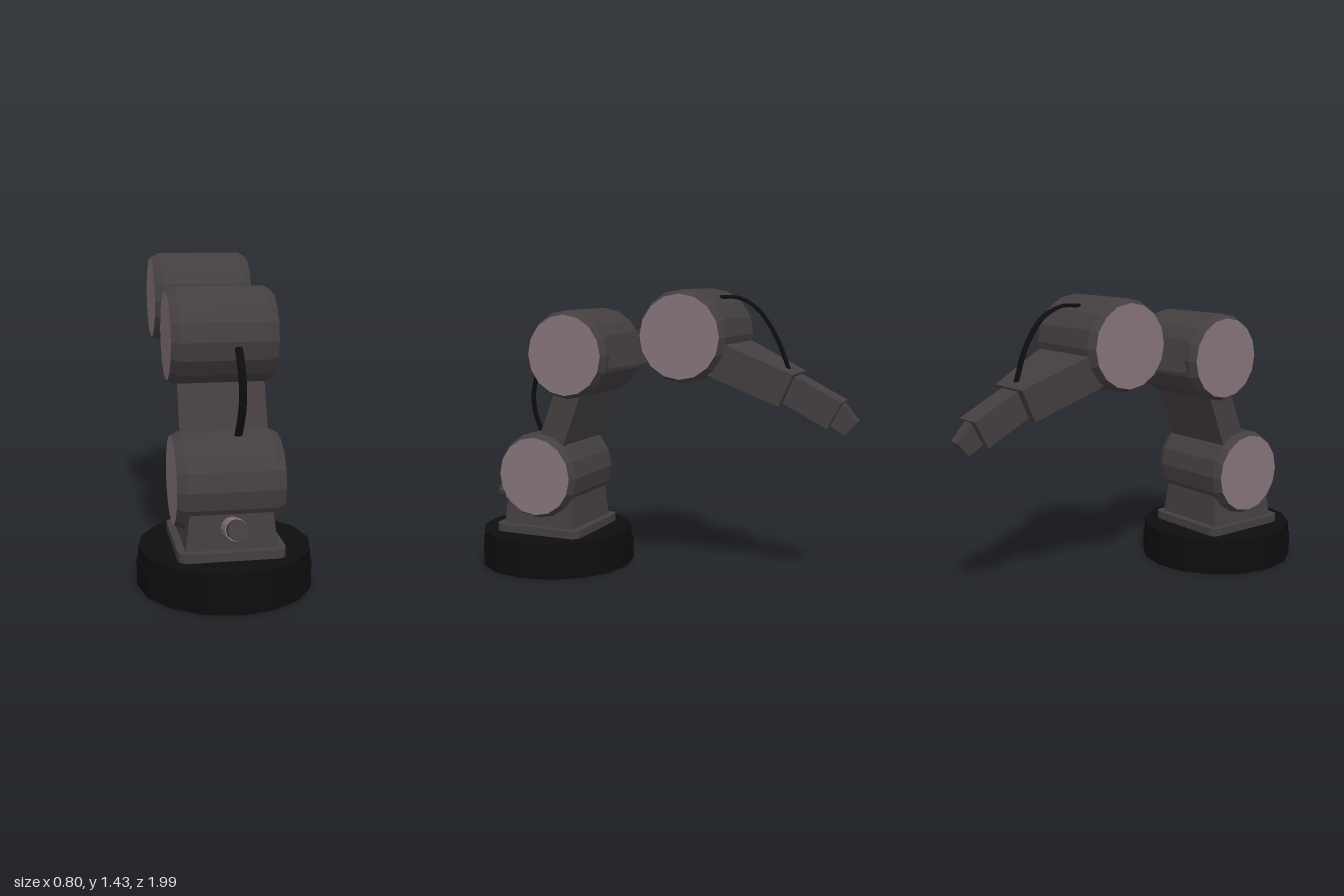
import * as THREE from 'three';

const material = (color) => new THREE.MeshStandardMaterial({ color, flatShading: true, side: THREE.DoubleSide });

export function createModel() {
  const arm = new THREE.Group();
  arm.name = 'robotArm';
  const body = material(0x443e40);
  const cap = material(0x85747a);
  const black = material(0x0d0d0d);

  function add(name, geometry, mat, parent = arm) {
    const mesh = new THREE.Mesh(geometry, mat);
    mesh.name = name;
    parent.add(mesh);
    return mesh;
  }

  // Tapered box running from a to b, both [z, y]; sizes are [width, thickness]
  function beam(name, a, b, s0, s1, mat = body) {
    const dz = b[0] - a[0], dy = b[1] - a[1];
    const length = Math.hypot(dz, dy);
    const geo = new THREE.BoxGeometry(1, 1, length);
    const p = geo.attributes.position;
    for (let i = 0; i < p.count; i++) {
      const s = p.getZ(i) > 0 ? s1 : s0;
      p.setXY(i, p.getX(i) * s[0], p.getY(i) * s[1]);
    }
    geo.computeVertexNormals();
    const mesh = add(name, geo, mat);
    mesh.position.set(0, (a[1] + b[1]) / 2, (a[0] + b[0]) / 2);
    mesh.rotation.x = Math.atan2(-dy, dz);
    return mesh;
  }

  // Wide joint drum with chamfered rims and pale end discs
  function joint(name, z, y) {
    const group = new THREE.Group();
    group.name = name;
    const profile = [[0.2, -0.24], [0.22, -0.2], [0.22, 0.2], [0.2, 0.24]]
      .map(([r, h]) => new THREE.Vector2(r, h));
    add('drum', new THREE.LatheGeometry(profile, 16), body, group);
    for (const side of [-1, 1]) {
      const disc = add('endDisc', new THREE.CircleGeometry(0.2, 16), cap, group);
      disc.position.y = side * 0.24;
      disc.rotation.x = -side * Math.PI / 2;
    }
    group.rotation.z = Math.PI / 2;
    group.position.set(0, y, z);
    arm.add(group);
  }

  // Round stepped base
  add('baseLower', new THREE.CylinderGeometry(0.4, 0.4, 0.125, 16), black).position.set(0, 0.0625, 0.6);
  add('baseUpper', new THREE.CylinderGeometry(0.392, 0.392, 0.055, 16), black).position.set(0, 0.1525, 0.6);

  // Mounting plate with rounded corners
  const h = 0.24, c = 0.05;
  const outline = new THREE.Shape();
  outline.moveTo(h - c, -h);
  outline.quadraticCurveTo(h, -h, h, -h + c);
  outline.lineTo(h, h - c);
  outline.quadraticCurveTo(h, h, h - c, h);
  outline.lineTo(-h + c, h);
  outline.quadraticCurveTo(-h, h, -h, h - c);
  outline.lineTo(-h, -h + c);
  outline.quadraticCurveTo(-h, -h, -h + c, -h);
  const plate = add('mountingPlate',
    new THREE.ExtrudeGeometry(outline, { depth: 0.04, bevelEnabled: false, curveSegments: 3 }), body);
  plate.rotation.x = -Math.PI / 2;
  plate.position.set(0, 0.18, 0.6);

  beam('pedestal', [0.6, 0.22], [0.6, 0.45], [0.41, 0.4], [0.35, 0.36]);

  // Joints and the links between them
  joint('shoulderJoint', 0.6, 0.485);
  joint('elbowJoint', 0.42, 1.105);
  joint('wristJoint', -0.19, 1.21);
  beam('lowerLink', [0.585, 0.5], [0.37, 1.05], [0.4, 0.14], [0.4, 0.14]);
  beam('upperLink', [0.4, 1.09], [-0.17, 1.19], [0.35, 0.16], [0.35, 0.16]);

  // Narrowing forearm and tool end
  beam('forearmRoot', [-0.22, 1.168], [-0.37, 1.1], [0.4, 0.165], [0.4, 0.165]);
  beam('forearm', [-0.37, 1.1], [-0.672, 0.966], [0.4, 0.165], [0.23, 0.165]);
  beam('toolArm', [-0.65, 0.978], [-0.89, 0.855], [0.135, 0.14], [0.135, 0.14]);
  beam('toolTip', [-0.88, 0.862], [-0.963, 0.794], [0.06, 0.125], [0.06, 0.084]);

  // Round connector at the front of the pedestal
  function plug(name, r, from, to, mat) {
    const a = new THREE.Vector3(0, from[1], from[0]), b = new THREE.Vector3(0, to[1], to[0]);
    const mesh = add(name, new THREE.CylinderGeometry(r, r, a.distanceTo(b), 12), mat);
    mesh.position.copy(a).lerp(b, 0.5);
    mesh.quaternion.setFromUnitVectors(new THREE.Vector3(0, 1, 0), b.sub(a).normalize());
  }
  plug('connector', 0.05, [0.76, 0.308], [0.89, 0.341], cap);
  plug('connectorEnd', 0.045, [0.88, 0.339], [0.935, 0.353], body);

  // Flattened cables: the tube is drawn at half width, then stretched in x
  function cable(name, points) {
    const curve = new THREE.CatmullRomCurve3(points.map(([x, y, z]) => new THREE.Vector3(x / 2, y, z)));
    const geo = new THREE.TubeGeometry(curve, 20, 0.009, 8);
    geo.scale(2, 1, 1);
    const mesh = add(name, geo, black);
    mesh.material = black.clone();
    mesh.material.flatShading = false;
  }
  cable('lowerCable', [[0.055, 1.08, 0.63], [0.06, 0.99, 0.675], [0.063, 0.88, 0.697], [0.058, 0.78, 0.69], [0.05, 0.69, 0.66]]);
  cable('upperCable', [[0, 1.39, -0.31], [0.015, 1.39, -0.4], [0.025, 1.34, -0.5], [0.024, 1.22, -0.59], [0.012, 1.05, -0.66]]);

  return arm;
}
